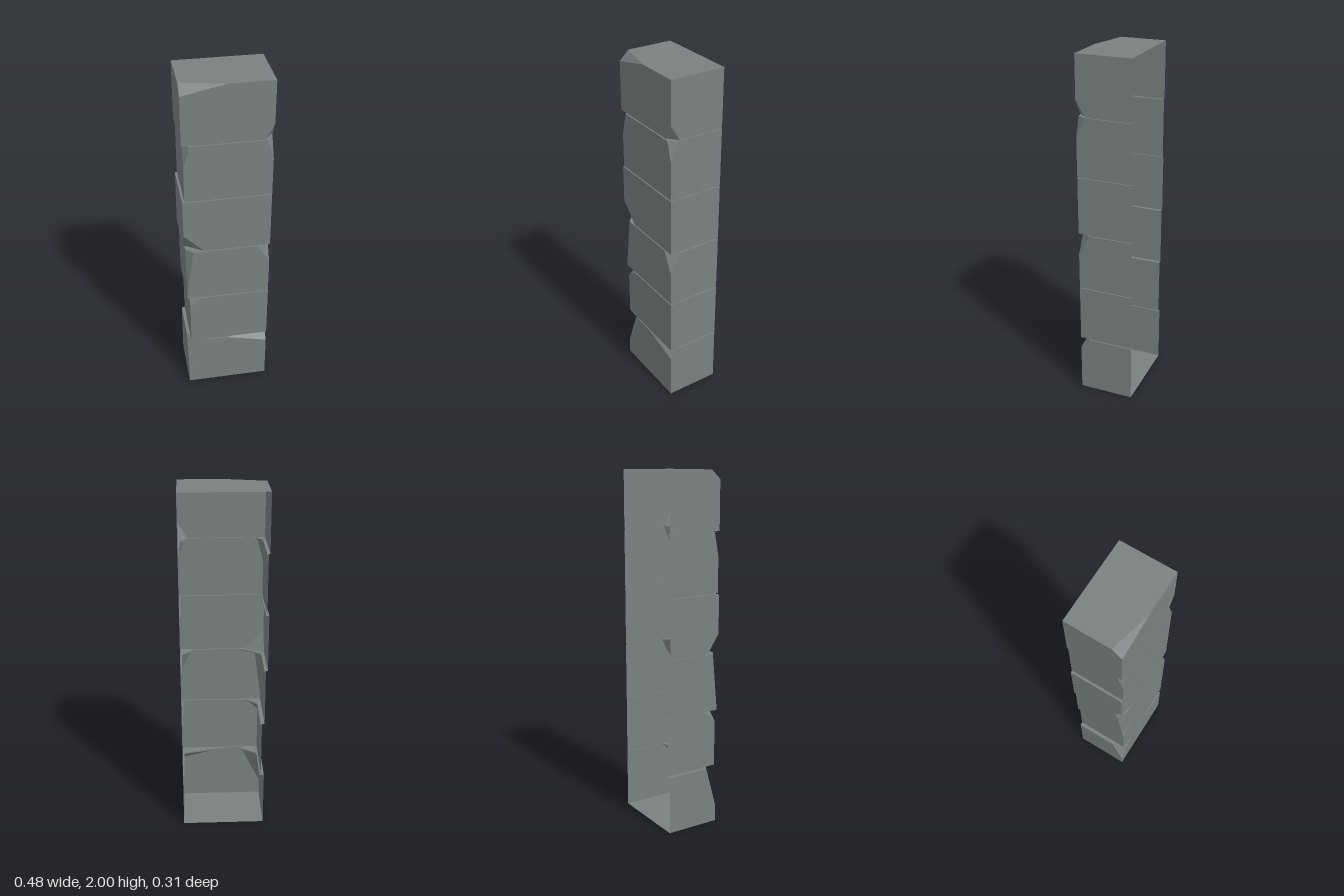
import * as THREE from 'three';

const RIGHT = 0.24, FRONT = 0.157, BACK = -0.157, GAP = 0.008, INSET = 0.008;
const PITCH = 0.3345, FIRST = 0.332;
const NONE = [0, 0, 0];

// Blocks from the ground up: left edge, and chipped corners as [x, z, height]
// (t/b = top/bottom, L/R = left/right of the front face on the x axis)
const BLOCKS = [
  { left: -0.235, tL: [0.115, 0.075, 0.24], tR: [0.24, 0.055, 0.06] },
  { left: -0.217, tL: [0.065, 0.06, 0.06] },
  { left: -0.232, tL: [0.04, 0.04, 0.3], tR: [0.065, 0.065, 0.12] },
  { left: -0.243, bL: [0.11, 0.07, 0.11] },
  { left: -0.232, tL: [0.035, 0.04, 0.13], tR: [0.035, 0.05, 0.11] },
  { left: -0.24, tL: [0.235, 0.055, 0.05], bR: [0.05, 0.05, 0.085] },
];

// Open outline: left back, left front corner, right front corner, right back
function outline(left, yL, yR, cL, cR, inset = 0) {
  const l = left + inset, r = RIGHT - inset, f = FRONT - inset;
  return [
    [l, yL, BACK], [l, yL, f - cL[1]], [l + cL[0], yL, f],
    [r - cR[0], yR, f], [r, yR, f - cR[1]], [r, yR, BACK],
  ].map((p) => new THREE.Vector3(...p));
}

function addTriangle(out, a, b, c) {
  const area = b.clone().sub(a).cross(c.clone().sub(a)).length();
  if (area > 1e-7) for (const p of [a, b, c]) out.push(p.x, p.y, p.z);
}

// Flat-sided walls between successive outlines
function loft(rows) {
  const out = [];
  for (let r = 0; r + 1 < rows.length; r++) {
    for (let i = 0; i < 5; i++) {
      const [a, b, c, d] = [rows[r][i], rows[r][i + 1], rows[r + 1][i + 1], rows[r + 1][i]];
      addTriangle(out, a, b, c);
      addTriangle(out, a, c, d);
    }
  }
  return out;
}

function cap(row, up) {
  const out = [];
  for (let i = 1; i < 5; i++) {
    if (up) addTriangle(out, row[0], row[i], row[i + 1]);
    else addTriangle(out, row[0], row[i + 1], row[i]);
  }
  return out;
}

export function createModel() {
  const group = new THREE.Group();
  const stone = new THREE.MeshStandardMaterial({ color: 0x7a8081, side: THREE.DoubleSide });
  stone.name = 'grey stone';
  stone.flatShading = true;

  const add = (name, positions) => {
    const g = new THREE.BufferGeometry();
    g.setAttribute('position', new THREE.Float32BufferAttribute(positions, 3));
    g.computeVertexNormals();
    const mesh = new THREE.Mesh(g, stone);
    mesh.name = name;
    group.add(mesh);
  };

  // Stone blocks, open at the back
  const walls = BLOCKS.map(({ left, tL = NONE, tR = NONE, bL = NONE, bR = NONE }, i) => {
    const y0 = i === 0 ? 0 : FIRST + PITCH * (i - 1) + GAP;
    const y1 = i === BLOCKS.length - 1 ? 2 : FIRST + PITCH * i;
    const rows = [
      outline(left, y0, y0, bL, bR),
      outline(left, y0 + bL[2], y0 + bR[2], NONE, NONE),
      outline(left, y1 - tL[2], y1 - tR[2], NONE, NONE),
      outline(left, y1, y1, tL, tR),
    ];
    add('block' + (i + 1), loft(rows));
    return rows;
  });

  // Recessed joints with their ledges
  const larger = (a = NONE, b = NONE) => a.map((v, k) => Math.max(v, b[k]));
  for (let i = 0; i + 1 < BLOCKS.length; i++) {
    const below = BLOCKS[i], above = BLOCKS[i + 1];
    const left = Math.max(below.left, above.left);
    const cL = larger(below.tL, above.bL), cR = larger(below.tR, above.bR);
    const y = FIRST + PITCH * i;
    add('joint' + (i + 1), loft([
      walls[i][3],
      outline(left, y, y, cL, cR, INSET),
      outline(left, y + GAP, y + GAP, cL, cR, INSET),
      walls[i + 1][0],
    ]));
  }

  // Closed ends
  add('base', cap(walls[0][0], false));
  add('top', cap(walls[BLOCKS.length - 1][3], true));
  return group;
}
